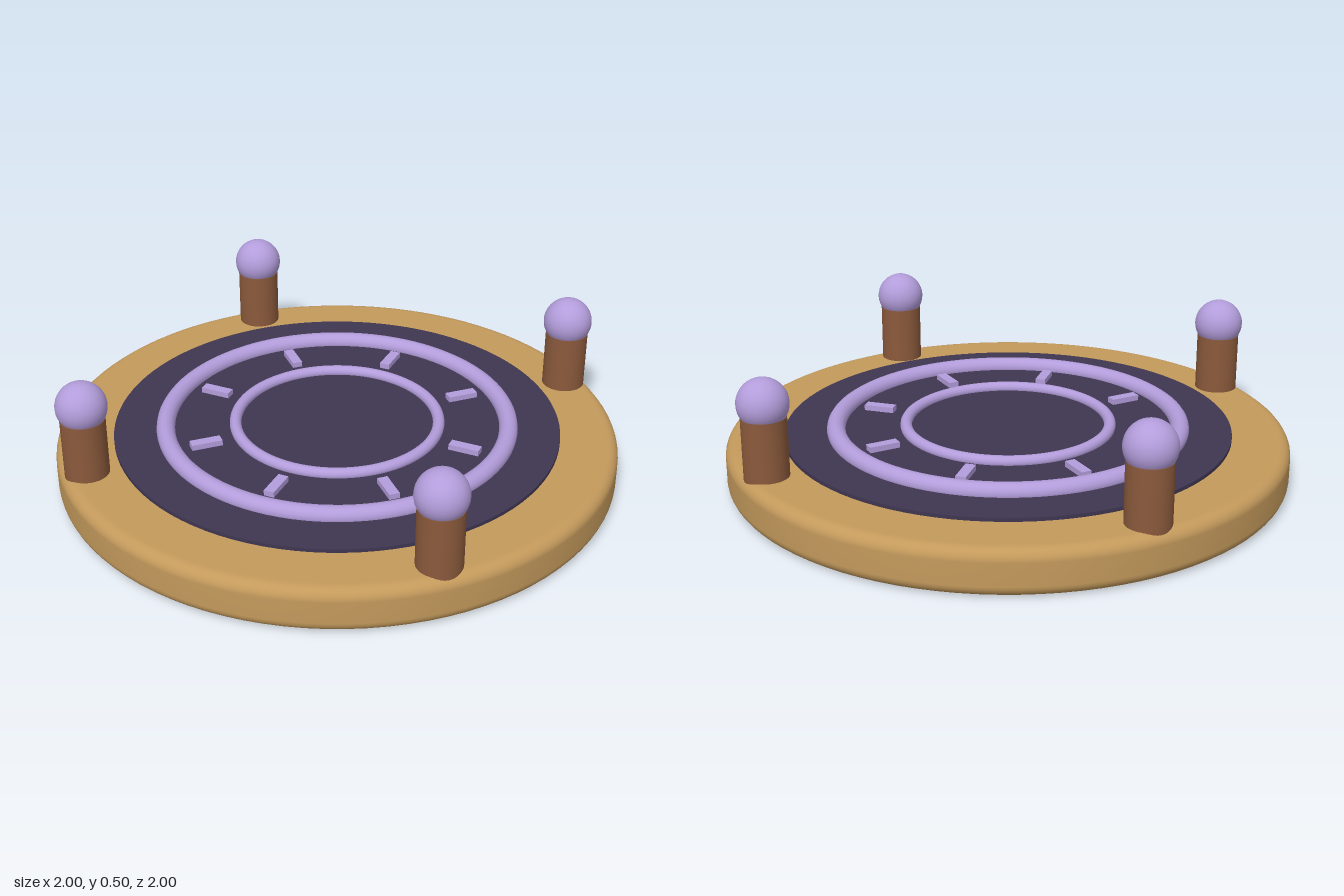
import * as THREE from 'three';

export function createModel() {
  const group = new THREE.Group();
  const material = (name, color) => {
    const m = new THREE.MeshStandardMaterial({ color });
    m.name = name;
    return m;
  };
  const sand = material('sandstone', 0xc49a5c);
  const dark = material('dark violet', 0x3f3651);
  const lilac = material('lilac glow', 0xb39ddb);
  const brown = material('brown', 0x8b5a3c);

  const add = (name, geometry, mat, x, y, z) => {
    const mesh = new THREE.Mesh(geometry, mat);
    mesh.name = name;
    mesh.position.set(x, y, z);
    group.add(mesh);
    return mesh;
  };

  // Round base with softened upper and lower rims
  const height = 0.16, bevel = 0.04, steps = 6;
  const profile = [new THREE.Vector2(0, 0), new THREE.Vector2(0.95, 0)];
  for (const [centreY, start] of [[bevel, -Math.PI / 2], [height - bevel, 0]]) {
    for (let i = 0; i <= steps; i++) {
      const a = start + (i / steps) * Math.PI / 2;
      profile.push(new THREE.Vector2(1 - bevel + bevel * Math.cos(a), centreY + bevel * Math.sin(a)));
    }
  }
  profile.push(new THREE.Vector2(0.95, height), new THREE.Vector2(0, height));
  add('base', new THREE.LatheGeometry(profile, 96), sand, 0, 0, 0);

  // Dark inlaid disc
  add('disc', new THREE.CylinderGeometry(0.795, 0.795, 0.03, 96), dark, 0, 0.158, 0);

  // Two raised rings
  for (const [name, radius, tube] of [['outerRing', 0.612, 0.033], ['innerRing', 0.364, 0.021]]) {
    add(name, new THREE.TorusGeometry(radius, tube, 16, 96), lilac, 0, 0.18, 0).rotation.x = Math.PI / 2;
  }

  // Eight radial marks between the rings
  const markGeometry = new THREE.BoxGeometry(0.11, 0.022, 0.037);
  for (let i = 0; i < 8; i++) {
    const a = i * Math.PI / 4;
    add('mark', markGeometry, lilac, 0.488 * Math.cos(a), 0.182, -0.488 * Math.sin(a)).rotation.y = a;
  }

  // Four posts topped with orbs
  const postGeometry = new THREE.CylinderGeometry(0.077, 0.077, 0.25, 32);
  const orbGeometry = new THREE.SphereGeometry(0.088, 32, 20);
  for (const x of [-0.643, 0.643]) {
    for (const z of [-0.643, 0.643]) {
      add('post', postGeometry, brown, x, 0.245, z);
      add('orb', orbGeometry, lilac, x, 0.415, z);
    }
  }
  return group;
}
